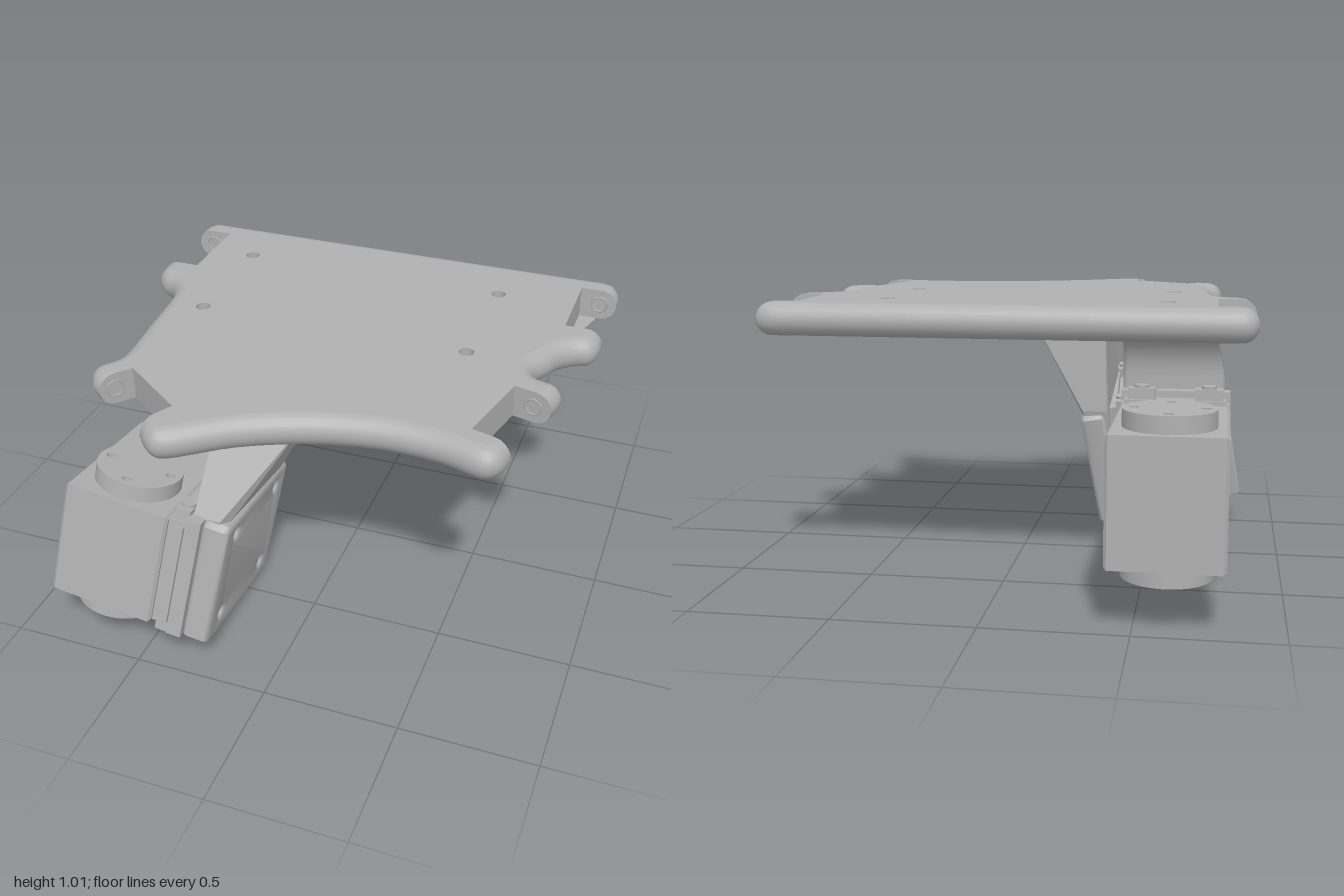
import * as THREE from 'three';
import { toCreasedNormals, mergeGeometries } from 'three/addons/utils/BufferGeometryUtils.js';
import { ConvexGeometry } from 'three/addons/geometries/ConvexGeometry.js';

const grey = new THREE.MeshStandardMaterial({ color: 0xb0b0b0, side: THREE.DoubleSide });
grey.name = 'grey';

function add(parent, name, geometry, x = 0, y = 0, z = 0) {
  const mesh = new THREE.Mesh(geometry, grey);
  mesh.name = name;
  mesh.position.set(x, y, z);
  parent.add(mesh);
  return mesh;
}
const box = (w, h, d) => new THREE.BoxGeometry(w, h, d);
const cyl = (r, h, n = 32) => new THREE.CylinderGeometry(r, r, h, n);
const shapeOf = (pts) => new THREE.Shape(pts.map(([x, y]) => new THREE.Vector2(x, y)));
const circle = (x, y, r) => new THREE.Path().absarc(x, y, r, 0, Math.PI * 2, true);

// Extrudes a shape drawn in (z, y) across x, centred, with bevels inside the given width
function sideExtrude(shape, width, bevel, segments) {
  const g = new THREE.ExtrudeGeometry(shape, {
    depth: width - 2 * bevel, curveSegments: 10, bevelThickness: bevel, bevelSize: bevel,
    bevelOffset: -bevel, bevelSegments: segments });
  g.translate(0, 0, bevel - width / 2).rotateY(-Math.PI / 2);
  return toCreasedNormals(g, 0.6);
}

// Body plate: rounded runs of [x, z] alternate with square notches
const rounded = [
  [[-0.89, -0.5], [-0.89, -0.55], [-0.872, -0.592], [-0.83, -0.61], [-0.75, -0.61], [0.75, -0.61],
    [0.83, -0.61], [0.872, -0.592], [0.89, -0.55], [0.89, -0.5]],
  [[0.89, -0.18], [0.89, -0.13], [0.87, -0.085], [0.82, -0.06], [0.775, -0.02], [0.74, 0.05], [0.71, 0.1],
    [0.705, 0.14], [0.73, 0.185], [0.775, 0.2], [0.81, 0.215], [0.828, 0.25], [0.81, 0.33]],
  [[0.745, 0.64], [0.733, 0.69], [0.705, 0.722], [0.66, 0.733], [0.53, 0.697], [0.32, 0.685], [0.08, 0.736],
    [-0.13, 0.83], [-0.24, 0.91], [-0.31, 0.96], [-0.36, 0.975], [-0.4, 0.955], [-0.435, 0.916]],
  [[-0.69, 0.725], [-0.73, 0.7], [-0.757, 0.65], [-0.745, 0.61], [-0.715, 0.57], [-0.705, 0.53], [-0.725, 0.3],
    [-0.747, 0.06], [-0.765, 0], [-0.8, -0.045], [-0.85, -0.07], [-0.882, -0.11], [-0.89, -0.18]],
];
const notches = [
  [[0.75, -0.5], [0.75, -0.18]], [[0.673, 0.297], [0.604, 0.6]],
  [[-0.37, 0.8], [-0.61, 0.625]], [[-0.75, -0.18], [-0.75, -0.5]],
];

// Points [x, z, 1 if the edge to the next point is rounded]
function plateOutline() {
  const pts = [];
  rounded.forEach((run, k) => {
    const curve = new THREE.CatmullRomCurve3(run.map(([x, z]) => new THREE.Vector3(x, 0, z)));
    const n = (run.length - 1) * 3;
    curve.getPoints(n).forEach((p, i) => pts.push([p.x, p.z, i < n ? 1 : 0]));
    notches[k].forEach(([x, z]) => pts.push([x, z, 0]));
  });
  return pts;
}

// Moves only the rounded edges inward by d
function inset(pts, d) {
  const n = pts.length;
  const normal = (a, b) => {
    const l = Math.hypot(b[0] - a[0], b[1] - a[1]);
    return [-(b[1] - a[1]) / l, (b[0] - a[0]) / l];
  };
  return pts.map((p, i) => {
    const q = pts[(i + n - 1) % n];
    const a = normal(q, p), b = normal(p, pts[(i + 1) % n]);
    const oa = d * q[2], ob = d * p[2];
    const c = a[0] * b[1] - a[1] * b[0];
    if (Math.abs(c) < 0.003) return [p[0] + a[0] * oa, p[1] + a[1] * oa];
    return [p[0] + (oa * b[1] - ob * a[1]) / c, p[1] + (ob * a[0] - oa * b[0]) / c];
  });
}

function facets(pos) {
  const g = new THREE.BufferGeometry();
  g.setAttribute('position', new THREE.Float32BufferAttribute(pos, 3));
  g.computeVertexNormals();
  return g;
}

const HOLE = 0.028;
function plateGeometry(topHoles, bottomHoles) {
  const pts = plateOutline(), n = pts.length, steps = 10, r = 0.06;
  const rings = [], rim = [], caps = [];
  for (let j = 0; j <= steps; j++) {
    const t = -Math.PI / 2 + (Math.PI * j) / steps;
    const y = 0.95 + r * Math.sin(t);
    rings.push(inset(pts, 0.057 * (1 - Math.cos(t))).map(([x, z]) => [x, y, z]));
  }
  for (let j = 0; j < steps; j++) {
    for (let i = 0; i < n; i++) {
      const k = (i + 1) % n;
      const a = rings[j][i], b = rings[j + 1][i], c = rings[j + 1][k], d = rings[j][k];
      rim.push(...a, ...b, ...c, ...a, ...c, ...d);
    }
  }
  const cap = (ring, holes, up) => {
    const contour = ring.map((p) => new THREE.Vector2(p[0], p[2]));
    const loops = holes.map(([x, z]) => Array.from({ length: 16 }, (_, i) => {
      const t = (-i * Math.PI) / 8;
      return new THREE.Vector2(x + HOLE * Math.sin(t), z + HOLE * Math.cos(t));
    }));
    const all = [contour, ...loops].flat();
    for (const f of THREE.ShapeUtils.triangulateShape(contour, loops)) {
      const [a, b, c] = f.map((i) => all[i]);
      const ccw = (b.x - a.x) * (c.y - a.y) - (b.y - a.y) * (c.x - a.x) > 0;
      for (const v of ccw === up ? [a, c, b] : [a, b, c]) caps.push(v.x, ring[0][1], v.y);
    }
  };
  cap(rings[0], bottomHoles, false);
  cap(rings[steps], topHoles, true);
  return mergeGeometries([toCreasedNormals(facets(rim), 0.6), facets(caps)]);
}

function buildPlate(root) {
  const top = [], bottom = [];
  for (const x of [-0.575, 0.457]) for (const z of [-0.34, 0.13]) top.push([x, z]);
  for (let i = 0; i < 5; i++) for (let j = 0; j < 4; j++) bottom.push([0.58 - 0.265 * i, -0.195 + 0.135 * j]);
  add(root, 'bodyPlate', plateGeometry(top, bottom));
  // Blind screw pockets
  const pocket = (h) => toCreasedNormals(new THREE.LatheGeometry(
    [[0, h], [HOLE, h], [HOLE, 0]].map(([x, y]) => new THREE.Vector2(x, y)), 16), 0.6);
  top.forEach(([x, z]) => add(root, 'topPocket', pocket(-0.03), x, 1.01, z));
  bottom.forEach(([x, z]) => add(root, 'bottomPocket', pocket(0.03), x, 0.89, z));
  // Rims of the hinge holes on the notch faces: x, z, yaw
  const rims = [[0.825, -0.5, 0], [0.825, -0.18, 0], [-0.825, -0.5, 0], [-0.825, -0.18, 0],
    [0.745, 0.314, -0.23], [0.68, 0.622, -0.23], [-0.655, 0.68, 0.9], [-0.405, 0.862, 0.9]];
  for (const [x, z, yaw] of rims) {
    add(root, 'hingeHoleRim', new THREE.TorusGeometry(0.03, 0.004, 6, 20), x, 0.95, z).rotation.y = yaw;
  }
}

// Servo: body runs along local +z from z = 0, drilled output discs above and below
function servo(name) {
  const g = new THREE.Group();
  g.name = name;
  add(g, 'servoBody', sideExtrude(shapeOf([[0, -0.22], [0.127, -0.22], [0.127, -0.04], [0.335, -0.04],
    [0.335, -0.22], [0.59, -0.22], [0.59, 0.22], [0, 0.22]]), 0.39, 0.01, 1));
  add(g, 'recessCore', box(0.24, 0.19, 0.22), 0, -0.12, 0.231);
  const disc = new THREE.Shape().absarc(0, 0, 0.155, 0, Math.PI * 2);
  for (let i = 0; i < 4; i++) {
    const a = (i * Math.PI) / 2;
    disc.holes.push(circle(0.116 * Math.cos(a), 0.116 * Math.sin(a), 0.017));
  }
  const geo = new THREE.ExtrudeGeometry(disc, { depth: 0.06, curveSegments: 24, bevelEnabled: false });
  geo.translate(0, 0, -0.03).rotateX(Math.PI / 2);
  for (const side of [1, -1]) add(g, 'outputDisc', toCreasedNormals(geo, 0.6), 0, side * 0.25, 0.41);
  return g;
}

// Mounting flange, growing 0.12 along local -z, with ears at the corners
function flange(w, h) {
  const g = new THREE.Group();
  g.name = 'mountFlange';
  add(g, 'flangeBase', box(w - 0.03, h - 0.07, 0.07), 0, 0, -0.034);
  add(g, 'flangePlate', box(w, h - 0.02, 0.055), 0, 0, -0.0925);
  for (const x of [-1, 1]) {
    add(g, 'flangeRib', box(0.02, h - 0.1, 0.03), x * (w / 2 - 0.01), 0, -0.045);
    for (const y of [-1, 1]) {
      add(g, 'flangeEar', box(0.1, 0.06, 0.055), x * (w / 2 - 0.075), y * (h / 2 - 0.025), -0.04);
      add(g, 'earScrew', cyl(0.026, 0.015, 16), x * (w / 2 - 0.075), y * (h / 2 + 0.008), -0.04);
    }
  }
  return g;
}

function buildBackLeg(root) {
  const g = servo('backServo');
  g.position.set(-0.605, 0.43, -0.41);
  g.rotation.y = Math.PI;
  g.add(flange(0.39, 0.54));
  root.add(g);
  // Hanging bracket with flared top, drawn in z and y
  const s = new THREE.Shape();
  s.moveTo(-0.05, 0.92);
  s.bezierCurveTo(-0.12, 0.88, -0.168, 0.83, -0.168, 0.73);
  s.lineTo(-0.168, 0.21);
  s.quadraticCurveTo(-0.168, 0.17, -0.205, 0.17);
  s.lineTo(-0.288, 0.17);
  s.lineTo(-0.288, 0.73);
  s.bezierCurveTo(-0.288, 0.83, -0.34, 0.88, -0.41, 0.92);
  const geo = sideExtrude(s, 0.37, 0.02, 3);
  // Outer side draws in to the plate edge
  const p = geo.attributes.position;
  for (let i = 0; i < p.count; i++) {
    if (p.getX(i) < 0 && p.getY(i) > 0.73) p.setX(i, Math.max(p.getX(i), -0.185 + (p.getY(i) - 0.73) * 0.2));
  }
  add(root, 'backBracket', geo, -0.595, 0, 0);
}

function buildFrontLeg(root) {
  const leg = new THREE.Group();
  leg.name = 'frontLeg';
  leg.position.set(-0.615, 0.375, 0.66);
  leg.rotation.set(-0.187, 0.05, -0.16);
  const s = servo('frontServo');
  s.position.z = -0.295;
  const f = flange(0.58, 0.5);
  f.position.x = 0.195;
  f.rotation.y = -Math.PI / 2;
  leg.add(s, f);
  // Side bracket with four countersunk holes, drawn in z and y
  const a = 0.31, b = 0.25, c = 0.02;
  const panel = shapeOf([[-a, c - b], [c - a, -b], [a - c, -b], [a, c - b], [a, b - c], [a - c, b], [c - a, b], [-a, b - c]]);
  for (const z of [-0.2, 0.2]) for (const y of [-0.16, 0.18]) panel.holes.push(circle(z, y, 0.02));
  add(leg, 'sideBracket', sideExtrude(panel, 0.1, 0.02, 3), 0.36, -0.01, -0.045);
  root.add(leg);
  // Strut widening from the side bracket up into the plate
  const corners = [[-0.3, 0.5, 0.27], [-0.2, 0.5, 0.27], [-0.3, 0.6, 0.85], [-0.2, 0.6, 0.85],
    [-0.31, 0.42, 0.29], [-0.23, 0.42, 0.29], [-0.31, 0.5, 0.86], [-0.23, 0.5, 0.86],
    [-0.29, 0.9, 0.275], [0.02, 0.9, 0.275], [-0.29, 0.9, 0.62], [0.02, 0.9, 0.62]];
  add(root, 'frontStrut', new ConvexGeometry(corners.map((v) => new THREE.Vector3(...v))));
}

export function createModel() {
  const root = new THREE.Group();
  root.name = 'robotBody';
  buildPlate(root);
  buildBackLeg(root);
  buildFrontLeg(root);
  return root;
}
